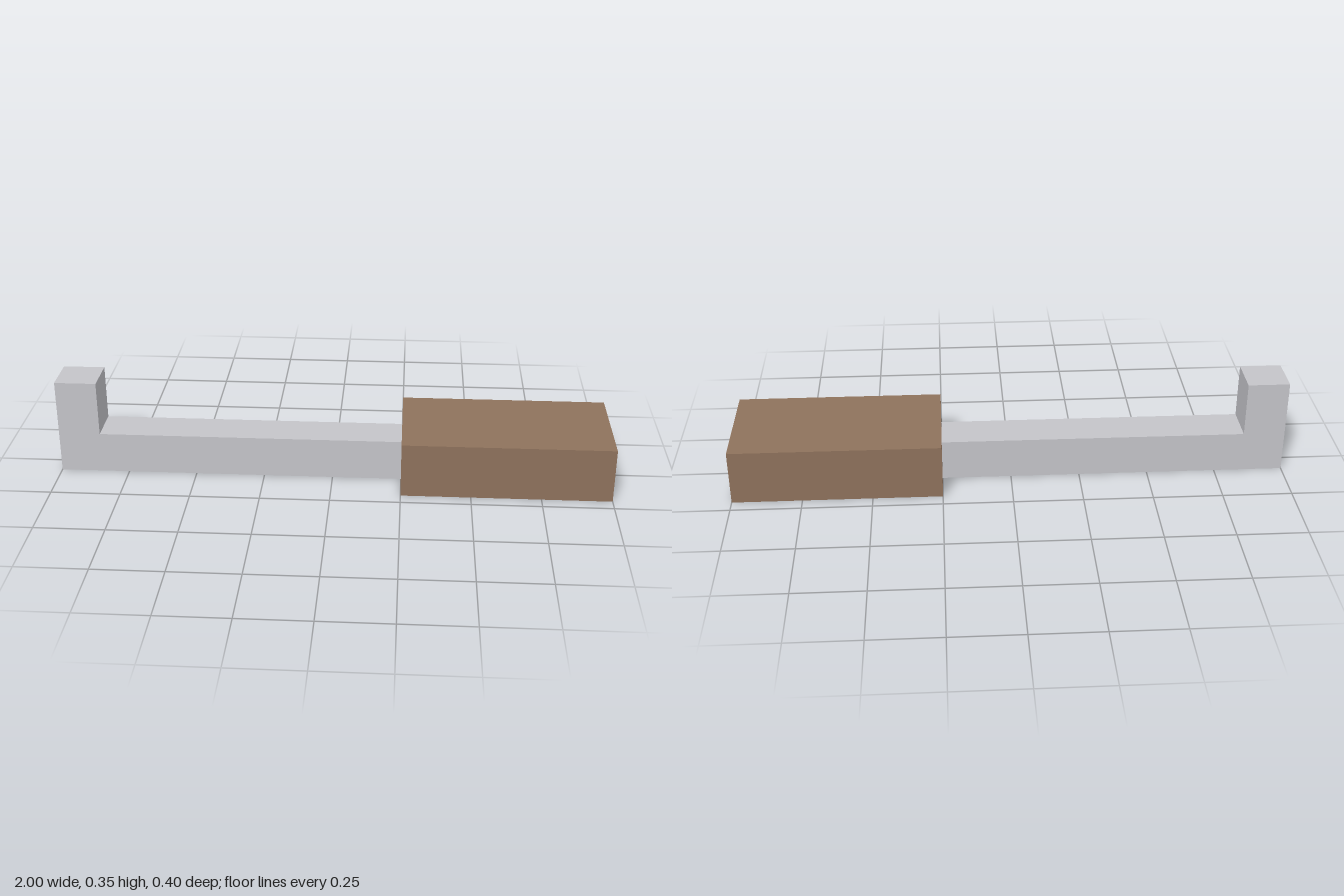
import * as THREE from 'three';

export function createModel() {
  const model = new THREE.Group();
  model.name = 'hookedBarWithHandle';

  const metal = new THREE.MeshStandardMaterial({ color: 0xc4c4c9 });
  metal.name = 'light grey metal';
  const wood = new THREE.MeshStandardMaterial({ color: 0x8e725c });
  wood.name = 'brown wood';

  // L-shaped bar: long shaft with an upturned tip, one continuous profile
  const width = 0.15;
  const profile = new THREE.Shape([
    [-1, 0], [0.25, 0], [0.25, 0.15], [-0.85, 0.15], [-0.85, 0.35], [-1, 0.35],
  ].map(([x, y]) => new THREE.Vector2(x, y)));
  const barGeometry = new THREE.ExtrudeGeometry(profile, { depth: width, bevelEnabled: false });
  barGeometry.translate(0, 0, -width / 2);
  const bar = new THREE.Mesh(barGeometry, metal);
  bar.name = 'hookedBar';

  // Block handle
  const handle = new THREE.Mesh(new THREE.BoxGeometry(0.75, 0.2, 0.4), wood);
  handle.name = 'handle';
  handle.position.set(0.625, 0.1, 0);

  model.add(bar, handle);
  return model;
}
